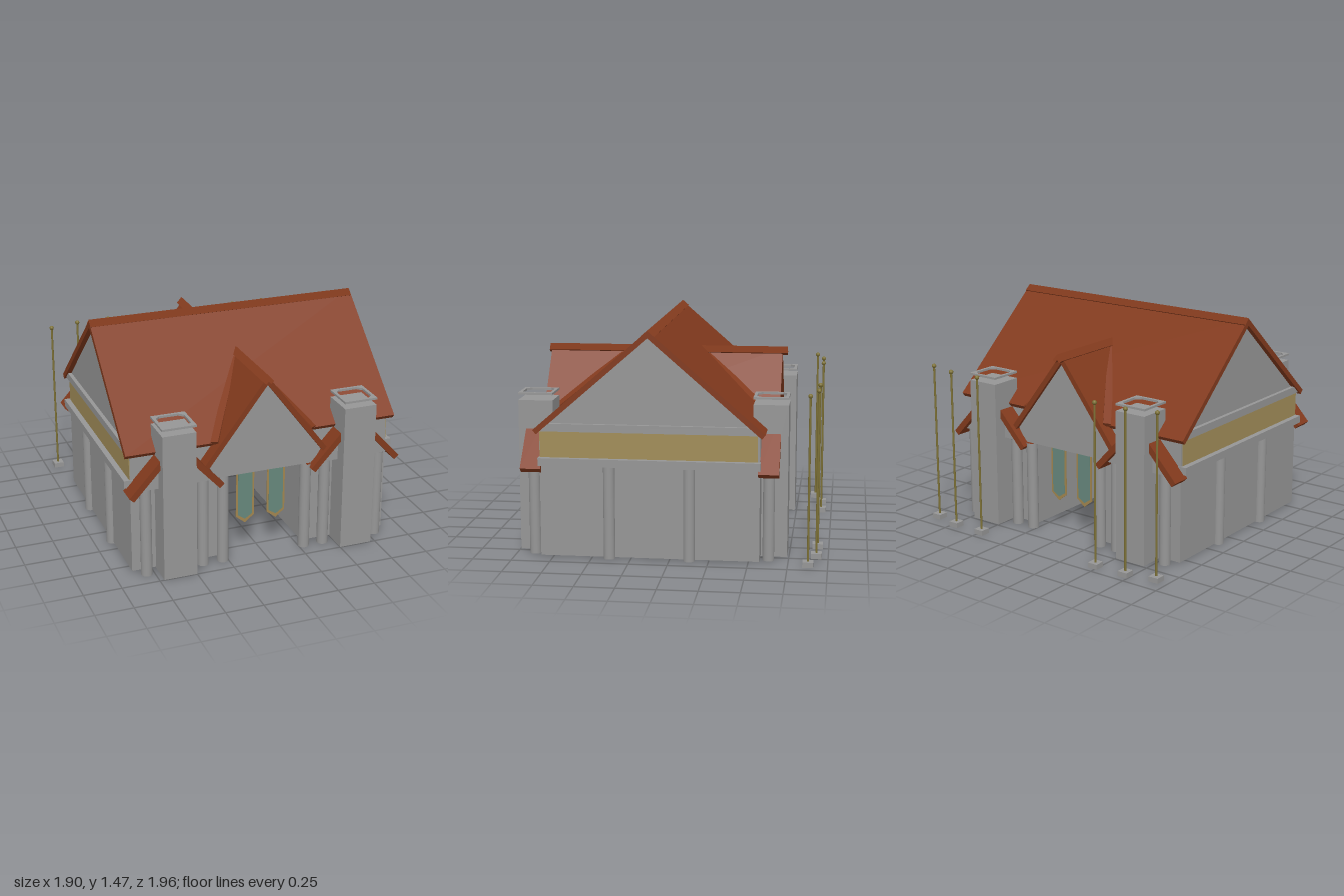
import * as THREE from 'three';

const mat = (name, color) => Object.assign(new THREE.MeshStandardMaterial({ color }), { name });

export function createModel() {
  const stone = mat('stone grey', 0x969696);
  stone.side = THREE.DoubleSide; // walls are open underneath
  const tile = mat('roof tile', 0x823a1d);
  const tan = mat('tan panel', 0xa18d59);
  const frame = mat('window frame', 0xa0854f);
  const glass = mat('green glass', 0x66877c);
  const brass = mat('old brass', 0x7d7136);

  const model = new THREE.Group();
  model.name = 'gabledHall';
  const MID = 0.13; // centre line of the hall in z

  const add = (name, geometry, material, x = 0, y = 0, z = 0) => {
    const mesh = new THREE.Mesh(geometry, material);
    mesh.name = name;
    mesh.position.set(x, y, z);
    model.add(mesh);
    return mesh;
  };
  // box given by its limits
  const box = (name, material, x0, x1, y0, y1, z0, z1) =>
    add(name, new THREE.BoxGeometry(Math.abs(x1 - x0), y1 - y0, Math.abs(z1 - z0)), material,
      (x0 + x1) / 2, (y0 + y1) / 2, (z0 + z1) / 2);
  // the same box without its bottom face
  const openBox = (...limits) => {
    const { geometry } = box(...limits);
    const bottom = geometry.groups[3];
    geometry.setIndex(Array.from(geometry.index.array)
      .filter((_, i) => i < bottom.start || i >= bottom.start + bottom.count));
    geometry.clearGroups();
  };
  const outline = (pts) => new THREE.Shape(pts.map(([x, y]) => new THREE.Vector2(x, y)));
  // outline in x, y extruded from z0 to z1
  const prism = (shape, z0, z1) =>
    new THREE.ExtrudeGeometry(shape, { depth: z1 - z0, bevelEnabled: false, curveSegments: 1 }).translate(0, 0, z0);
  // two sloping slabs meeting at a ridge
  const chevron = (w, apex, eave, t) => {
    const h = apex - eave, len = Math.hypot(w, h);
    const bx = w - t * h / len, by = eave - t * w / len;
    return outline([[-w, eave], [-bx, by], [0, apex - t * len / w], [bx, by], [w, eave], [0, apex]]);
  };
  // outline drawn across z, extruded along x
  const acrossZ = (shape, x0, x1) => prism(shape, x0, x1).rotateY(Math.PI / 2);
  // ridge caps are shaded smoothly over the crest
  const smoothCrest = (geometry) => {
    const normal = geometry.attributes.normal;
    for (let i = 0; i < normal.count; i++) normal.setXYZ(i, 0, 1, 0);
    return geometry;
  };

  // main roof and its ridge cap
  add('mainRoof', acrossZ(chevron(0.735, 1.468, 0.83, 0.035), -0.915, 0.922), tile, 0, 0, MID);
  add('mainRidge', smoothCrest(acrossZ(chevron(0.043, 1.473, 1.436, 0.02), -0.914, 0.921)), tile, 0, 0, MID - 0.004);

  const column = new THREE.CylinderGeometry(0.037, 0.037, 0.6, 16, 1, true);
  const gable = outline([[-0.69, 0.82], [0.69, 0.82], [0, 1.422]]);
  const gableLedge = outline([[-0.69, 0.82], [0.69, 0.82], [0.633, 0.87], [-0.633, 0.87]]);

  // chimney rim with an eight-sided hole
  const rim = outline([[-0.112, -0.112], [0.112, -0.112], [0.112, 0.112], [-0.112, 0.112]]);
  const a = 0.092, c = 0.062;
  rim.holes.push(new THREE.Path([[a, c], [c, a], [-c, a], [-a, c], [-a, -c], [-c, -a], [c, -a], [a, -c]]
    .map(([x, y]) => new THREE.Vector2(x, y))));
  const rimGeometry = prism(rim, 0, 0.014).rotateX(-Math.PI / 2);

  // side wings, walls and gables
  for (const s of [-1, 1]) {
    openBox('wing', stone, s * 0.29, s * 0.88, 0.008, 0.82, -0.57, 0.83);
    box('sidePanel', tan, s * 0.88, s * 0.884, 0.65, 0.82, -0.555, 0.828);
    box('sideLedge', stone, s * 0.86, s * 0.92, 0.6, 0.65, -0.575, 0.835);
    const [g0, g1] = s > 0 ? [0.29, 0.88] : [-0.88, -0.29];
    add('sideGable', acrossZ(gable, g0, g1), stone, 0, 0, MID);
    const [l0, l1] = s > 0 ? [0.86, 0.905] : [-0.905, -0.86];
    add('gableLedge', acrossZ(gableLedge, l0, l1), stone, 0, 0, MID);
    for (const z of [0.387, -0.125]) add('sideColumn', column, stone, s * 0.88, 0.3, z);
  }

  const smallRoof = chevron(0.312, 0.92, 0.58, 0.04);
  const smallGable = outline([[-0.285, 0.6], [0.285, 0.6], [0, 0.86]]);
  const midGable = outline([[-0.33, 0.6], [0.33, 0.6], [0.385, 0.69], [0, 1.2], [-0.385, 0.69]]);
  const lancet = (w, top, shoulder, tip) =>
    outline([[-w, top], [-w, shoulder], [0, tip], [w, shoulder], [w, top]]);

  // front and back ends
  for (const f of [1, -1]) {
    const at = (d) => MID + f * d; // distance out from the centre line
    const range = (d0, d1) => [Math.min(at(d0), at(d1)), Math.max(at(d0), at(d1))];
    add('middleGable', prism(midGable, ...range(0.715, 0.765)), stone);

    for (const s of [-1, 1]) {
      add('porchRoof', prism(smallRoof, ...range(0.69, 0.82)), tile, s * 0.61);
      add('porchGable', prism(smallGable, ...range(0.69, 0.78)), stone, s * 0.61);
      for (const x of [0.285, 0.42, 0.8]) add('porchColumn', column, stone, s * x, 0.3, at(0.753));

      openBox('chimney', stone, s * 0.5, s * 0.72, 0, 0.985, at(0.645), at(0.868));
      add('chimneyRim', rimGeometry, stone, s * 0.61, 1.02, at(0.756));

      // hanging pointed windows
      add('windowFrame', prism(lancet(0.062, 0.66, 0.26, 0.21), -0.003, 0.003), frame, s * 0.107, 0, at(0.69));
      add('windowGlass', prism(lancet(0.049, 0.65, 0.27, 0.237), -0.0045, 0.0045), glass, s * 0.107, 0, at(0.69));

      // valley boards where the cross roof meets the main roof
      const top = new THREE.Vector3(s * 0.03, 1.2, at(0.29));
      const end = new THREE.Vector3(s * 0.335, 0.832, at(0.745));
      const along = end.clone().sub(top);
      const length = along.length();
      along.normalize();
      const side = along.clone().cross(new THREE.Vector3(s * 0.8, 1.355, f * 0.66)).normalize();
      const up = side.clone().cross(along);
      const board = add('valleyBoard', new THREE.BoxGeometry(length, 0.03, 0.05), tile);
      board.quaternion.setFromRotationMatrix(new THREE.Matrix4().makeBasis(along, up, side));
      board.position.copy(top.add(end).multiplyScalar(0.5));
    }
  }

  // cross roof with its ridge cap
  add('crossRoof', prism(chevron(0.42, 1.252, 0.7, 0.035), -0.66, 0.92), tile);
  add('crossRidge', smoothCrest(prism(chevron(0.035, 1.26, 1.22, 0.025), -0.695, 0.935)), tile);

  // ball-topped poles behind the hall
  const pole = new THREE.CylinderGeometry(0.007, 0.007, 1.05, 10);
  const ball = new THREE.SphereGeometry(0.015, 14, 10);
  for (const s of [-1, 1]) {
    for (const [x, z] of [[0.915, -0.877], [0.714, -0.925], [0.482, -0.928]]) {
      openBox('poleBase', stone, s * x - 0.034, s * x + 0.034, 0, 0.034, z - 0.034, z + 0.034);
      add('pole', pole, brass, s * x, 0.55, z);
      add('poleBall', ball, brass, s * x, 1.08, z);
    }
  }
  return model;
}
